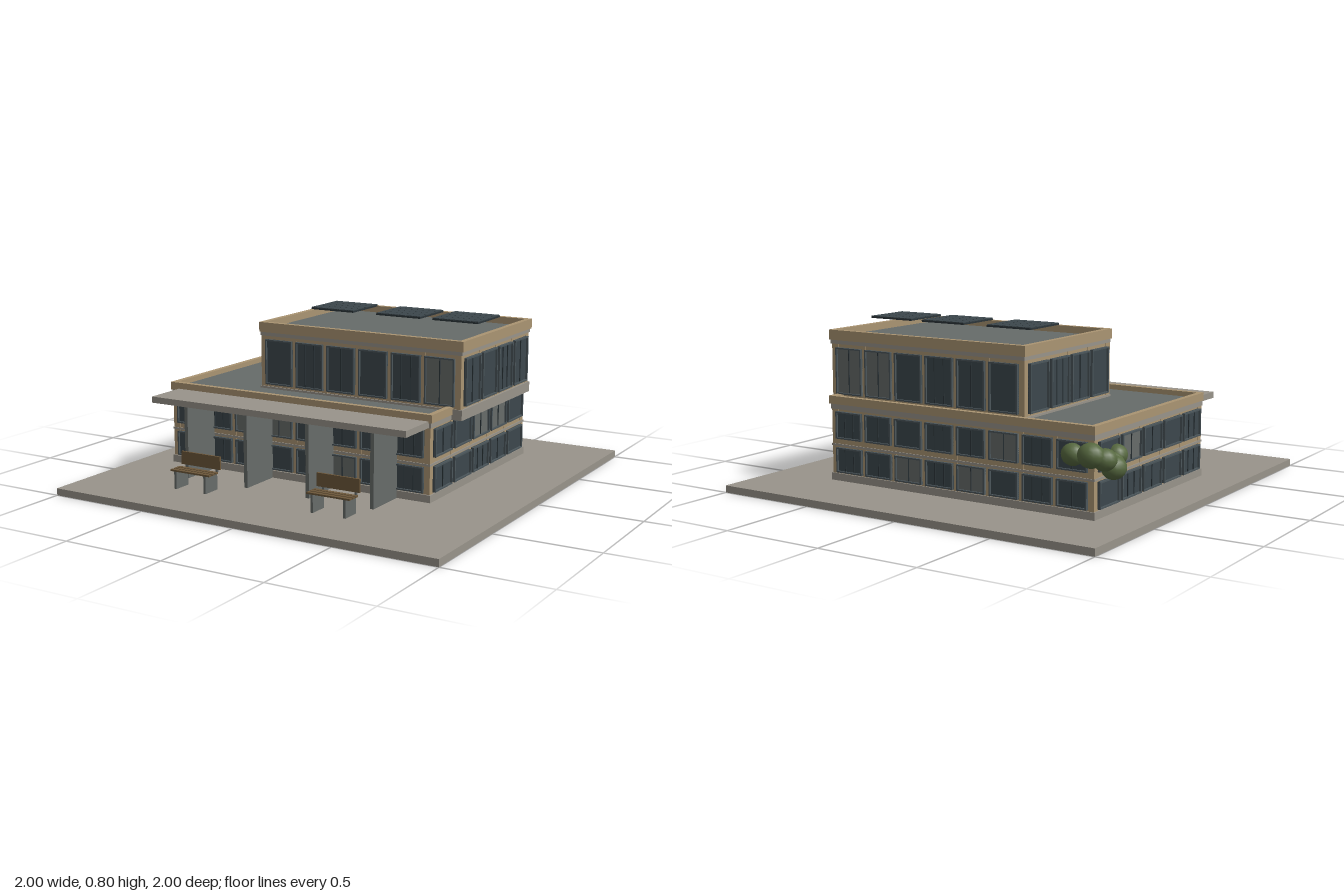
import * as THREE from 'three';

const mat = (name, color) => {
  const m = new THREE.MeshStandardMaterial({ color });
  m.name = name;
  return m;
};

export function createModel() {
  const concrete = mat('concrete', 0x98938a);
  const tan = mat('tan cladding', 0xaa9472);
  const slate = mat('slate grey', 0x666b69);
  const glass = mat('dark glass', 0x3c474c);
  const frame = mat('window frame', 0x4b565b);
  const panelDark = mat('solar frame', 0x2c353a);
  const wood = mat('bench wood', 0x6c573a);
  const leaf = mat('leaf green', 0x56683f);

  const model = new THREE.Group();
  model.name = 'officeBuilding';

  // Box from min/max corners
  function box(parent, name, material, x0, x1, y0, y1, z0, z1) {
    const m = new THREE.Mesh(new THREE.BoxGeometry(x1 - x0, y1 - y0, z1 - z0), material);
    m.position.set((x0 + x1) / 2, (y0 + y1) / 2, (z0 + z1) / 2);
    m.name = name;
    parent.add(m);
    return m;
  }

  function group(name, parent = model) {
    const g = new THREE.Group();
    g.name = name;
    parent.add(g);
    return g;
  }

  // Rectangular ring used for roof parapets
  function parapet(name, x0, x1, z0, z1, y0, y1, t) {
    const g = group(name);
    box(g, 'parapetFront', tan, x0, x1, y0, y1, z1 - t, z1);
    box(g, 'parapetBack', tan, x0, x1, y0, y1, z0, z0 + t);
    box(g, 'parapetLeft', tan, x1 - t, x1, y0, y1, z0 + t, z1 - t);
    box(g, 'parapetRight', tan, x0, x0 + t, y0, y1, z0 + t, z1 - t);
  }

  // Window in a facade's local frame: outer face at z = d
  function windowUnit(parent, cx, w, y0, y1, d, blind, mullions) {
    const g = group('window', parent);
    const a = cx - w / 2, b = cx + w / 2, t = 0.007;
    box(g, 'pane', blind ? slate : glass, a, b, y0, y1, d - 0.02, d + 0.004);
    box(g, 'jamb', frame, a, a + t, y0, y1, d - 0.01, d + 0.014);
    box(g, 'jamb', frame, b - t, b, y0, y1, d - 0.01, d + 0.014);
    box(g, 'sill', frame, a + t, b - t, y0, y0 + t, d - 0.01, d + 0.014);
    box(g, 'head', frame, a + t, b - t, y1 - t, y1, d - 0.01, d + 0.014);
    for (let i = 1; i <= mullions; i++) {
      const x = a + (w * i) / (mullions + 1);
      box(g, 'mullion', panelDark, x - 0.002, x + 0.002, y0 + t, y1 - t, d, d + 0.008);
    }
  }

  // One storey: core, columns, bands and windows on four sides
  function storey(name, x0, x1, z0, z1, y0, y1, w0, w1, nx, nz, blinds) {
    const s = group(name);
    box(s, 'core', panelDark, x0 + 0.02, x1 - 0.02, y0, y1, z0 + 0.02, z1 - 0.02);
    const sides = ['front', 'left', 'back', 'right'];
    sides.forEach((side, k) => {
      const g = group(side + 'Facade', s);
      g.position.set((x0 + x1) / 2, 0, (z0 + z1) / 2);
      g.rotation.y = (k * Math.PI) / 2;
      const wide = k % 2 === 0;
      const len = wide ? x1 - x0 : z1 - z0;
      const d = (wide ? z1 - z0 : x1 - x0) / 2;
      const n = wide ? nx : nz;
      const pitch = (len - 0.036) / n, start = -len / 2 + 0.018;
      for (let i = 0; i <= n; i++) {
        const h = i === 0 || i === n ? 0.018 : 0.011, x = start + i * pitch;
        box(g, 'column', tan, x - h, x + h, y0, y1, d - 0.036, d);
      }
      box(g, 'lowerBand', tan, -len / 2 + 0.03, len / 2 - 0.03, y0, w0, d - 0.03, d - 0.002);
      box(g, 'upperBand', tan, -len / 2 + 0.03, len / 2 - 0.03, w1, y1, d - 0.03, d - 0.002);
      for (let i = 0; i < n; i++) {
        const blind = blinds[k].includes(i);
        windowUnit(g, start + (i + 0.5) * pitch, pitch - 0.023, w0, w1, d, blind, blind ? 1 : (i * 2 + k) % 3);
      }
    });
  }

  // Ground and foundation
  box(model, 'ground', concrete, -1, 1, 0, 0.034, -1, 1);
  box(model, 'foundation', concrete, -0.805, 0.632, 0.045, 0.08, -0.668, 0.365);

  // Three storeys
  storey('groundStorey', -0.8, 0.625, -0.663, 0.358, 0.08, 0.212, 0.086, 0.206, 8, 5, [[5], [], [2, 4], []]);
  box(model, 'floorSlab', concrete, -0.803, 0.628, 0.212, 0.222, -0.666, 0.361);
  storey('middleStorey', -0.8, 0.625, -0.663, 0.358, 0.222, 0.388, 0.248, 0.378, 8, 5, [[2, 3], [2, 3], [5], [1]]);
  box(model, 'lowerRoofSlab', concrete, -0.803, 0.63, 0.388, 0.412, -0.666, 0.361);
  box(model, 'lowerRoof', slate, -0.79, 0.615, 0.412, 0.426, -0.65, 0.345);
  parapet('lowerParapet', -0.807, 0.636, -0.672, 0.366, 0.412, 0.45, 0.026);
  box(model, 'upperFloorSlab', concrete, -0.415, 0.682, 0.387, 0.436, -0.602, 0.16);
  storey('upperStorey', -0.41, 0.673, -0.597, 0.155, 0.436, 0.686, 0.448, 0.67, 6, 4, [[5], [], [0, 1], []]);
  box(model, 'upperRoofSlab', concrete, -0.412, 0.68, 0.686, 0.704, -0.6, 0.158);
  box(model, 'upperRoof', slate, -0.4, 0.668, 0.704, 0.718, -0.585, 0.145);
  parapet('upperParapet', -0.417, 0.686, -0.604, 0.162, 0.704, 0.752, 0.026);

  // Solar panels, six by four cells
  for (const x of [-0.29, 0.08, 0.385]) {
    const g = group('solarPanel');
    box(g, 'panelFrame', panelDark, x, x + 0.24, 0.788, 0.796, -0.36, -0.115);
    for (let i = 0; i < 6; i++) for (let j = 0; j < 4; j++) {
      const cx = x + 0.001 + i * 0.04, cz = -0.359 + j * 0.061;
      box(g, 'cell', glass, cx, cx + 0.037, 0.796, 0.799, cz, cz + 0.058);
    }
  }

  // Front canopy on four fins
  box(model, 'canopy', concrete, -0.76, 0.62, 0.39, 0.42, 0.362, 0.576);
  for (const x of [-0.56, -0.222, 0.115, 0.452]) {
    box(model, 'canopyFin', slate, x - 0.009, x + 0.009, 0.045, 0.39, 0.362, 0.576);
  }

  // Two benches
  for (const x of [-0.409, 0.335]) {
    const g = group('bench');
    g.position.x = x;
    for (const s of [-0.083, 0.083]) {
      box(g, 'benchLeg', slate, s - 0.006, s + 0.006, 0.045, 0.128, 0.665, 0.757);
      box(g, 'backSupport', slate, s - 0.005, s + 0.005, 0.125, 0.19, 0.654, 0.662);
    }
    for (const z of [0.686, 0.712, 0.738]) {
      box(g, 'seatSlat', wood, -0.11, 0.11, 0.128, 0.136, z, z + 0.02);
    }
    box(g, 'backrest', wood, -0.11, 0.11, 0.142, 0.204, 0.662, 0.672);
  }

  // Leafy clumps at the back corner: x, y, z, radius
  const clumps = [
    [-0.79, 0.325, -0.675, 0.058], [-0.85, 0.265, -0.585, 0.055], [-0.815, 0.3, -0.495, 0.05],
    [-0.7, 0.32, -0.67, 0.052], [-0.835, 0.305, -0.635, 0.052], [-0.82, 0.275, -0.535, 0.05],
  ];
  const bush = group('bush');
  clumps.forEach(([x, y, z, r], i) => {
    const m = new THREE.Mesh(new THREE.SphereGeometry(r, 14, 10), leaf);
    m.name = 'leafClump';
    m.position.set(x, y, z);
    m.scale.set(1.05, 0.95, 0.95);
    m.rotation.y = i;
    bush.add(m);
  });

  return model;
}
